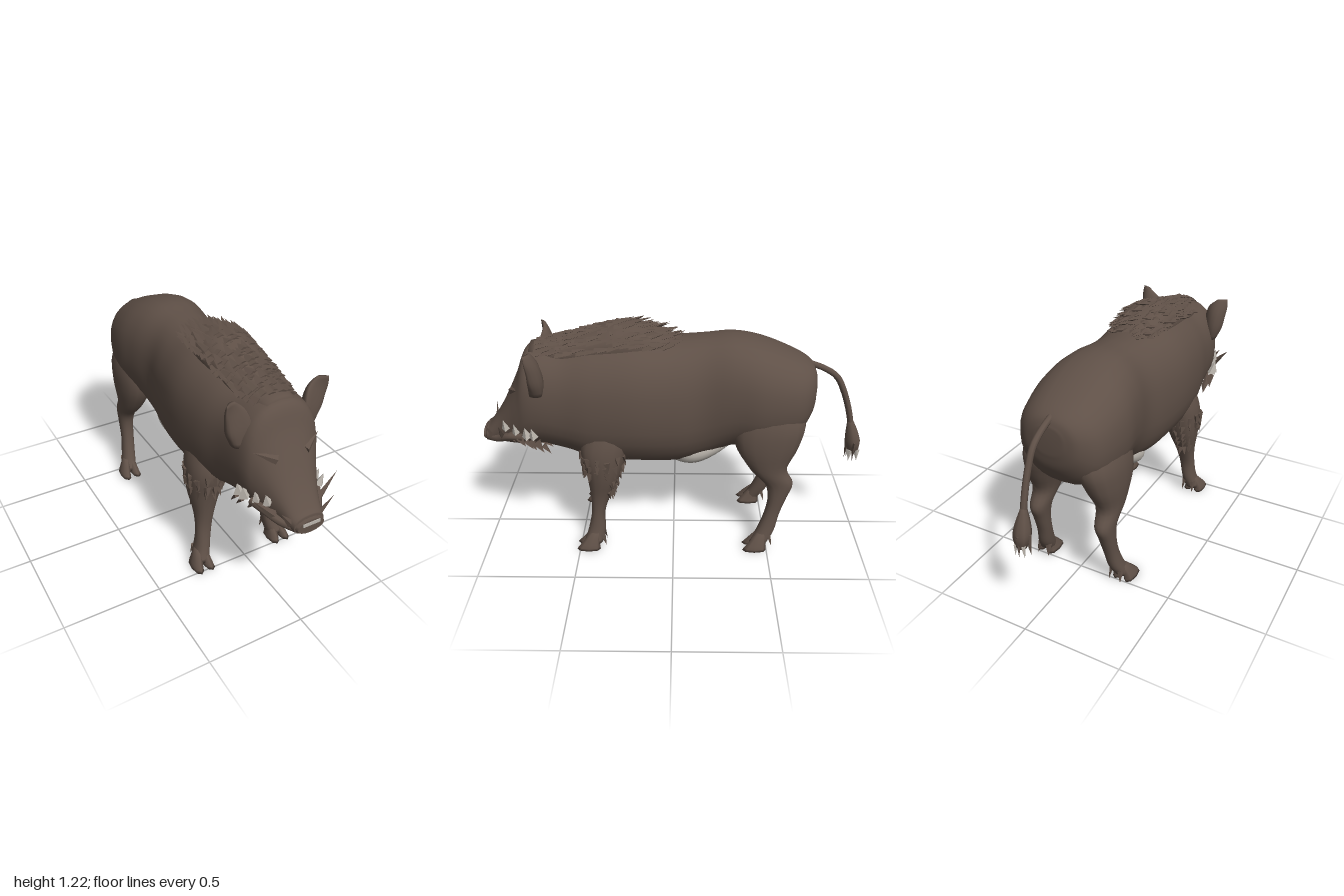
import * as THREE from 'three';
import { mergeGeometries } from 'three/addons/utils/BufferGeometryUtils.js';

// Smooth closed tube through cross-sections [pos, cx, c2, rx, r2] along +y or +z
function loft(sections, axis, steps = 4, sides = 24, power = 2.2) {
  const centres = new THREE.CatmullRomCurve3(sections.map(s => new THREE.Vector3(s[1], s[2], s[0])), false, 'catmullrom', 0.5);
  const radii = new THREE.CatmullRomCurve3(sections.map(s => new THREE.Vector3(s[3], s[4], 0)), false, 'catmullrom', 0.5);
  const n = (sections.length - 1) * steps;
  const pos = [], idx = [];
  const put = (c, u, v) => axis === 'z'
    ? pos.push(c.x + u, c.y + v, c.z)
    : pos.push(c.x + u, c.z, c.y - v);
  const round = v => Math.sign(v) * Math.abs(v) ** (2 / power);
  for (let i = 0; i <= n; i++) {
    const c = centres.getPoint(i / n), r = radii.getPoint(i / n);
    for (let j = 0; j < sides; j++) {
      const a = j / sides * Math.PI * 2;
      put(c, r.x * round(Math.cos(a)), r.y * round(Math.sin(a)));
    }
  }
  for (let i = 0; i < n; i++) {
    for (let j = 0; j < sides; j++) {
      const a = i * sides + j, b = i * sides + (j + 1) % sides;
      idx.push(a, b, a + sides, b, b + sides, a + sides);
    }
  }
  // end caps
  put(centres.getPoint(0), 0, 0);
  put(centres.getPoint(1), 0, 0);
  const first = (n + 1) * sides;
  for (let j = 0; j < sides; j++) {
    const k = (j + 1) % sides;
    idx.push(first, k, j, first + 1, n * sides + j, n * sides + k);
  }
  const g = new THREE.BufferGeometry();
  g.setAttribute('position', new THREE.Float32BufferAttribute(pos, 3));
  g.setIndex(idx);
  g.computeVertexNormals();
  return g;
}

// Loft along z from [z, bottom, top, halfWidth]
const bodyLoft = (rows, steps, power) =>
  loft(rows.map(([z, b, t, w]) => [z, 0, (b + t) / 2, w, (t - b) / 2]), 'z', steps, 28, power);

// Flat-sided hair clump from a root along a direction
const UP = new THREE.Vector3(0, 1, 0);
function clump(root, dir, length, radius, flat = 0.6) {
  const g = new THREE.ConeGeometry(radius, length, 4).toNonIndexed();
  g.translate(0, length * 0.35, 0);
  g.scale(1, 1, flat);
  g.applyQuaternion(new THREE.Quaternion().setFromUnitVectors(UP, new THREE.Vector3(...dir).normalize()));
  g.translate(...root);
  g.computeVertexNormals();
  return g;
}

export function createModel() {
  const group = new THREE.Group();
  const material = (name, color) => {
    const m = new THREE.MeshStandardMaterial({ color });
    m.name = name;
    return m;
  };
  const hide = material('brown hide', 0x5f5047);
  const pale = material('pale fur', 0xbab4ac);
  const add = (name, geometry, mat = hide) => {
    const m = new THREE.Mesh(geometry, mat);
    m.name = name;
    group.add(m);
  };
  let seed = 7;
  const rand = () => (seed = (seed * 16807) % 2147483647) / 2147483647;
  const jitter = a => (rand() - 0.5) * 2 * a;

  // Trunk, neck and head in one skin
  add('body', bodyLoft([
    [-0.725, 0.81, 0.94, 0.07], [-0.70, 0.71, 0.99, 0.15], [-0.62, 0.60, 1.04, 0.22],
    [-0.45, 0.55, 1.11, 0.252], [-0.30, 0.54, 1.14, 0.235], [-0.15, 0.47, 1.13, 0.215],
    [0, 0.445, 1.12, 0.24], [0.2, 0.45, 1.13, 0.262], [0.4, 0.46, 1.11, 0.248],
    [0.55, 0.51, 1.08, 0.22], [0.68, 0.54, 1.08, 0.205], [0.745, 0.535, 1.06, 0.19],
    [0.79, 0.53, 0.955, 0.165], [0.84, 0.53, 0.85, 0.135], [0.90, 0.535, 0.74, 0.105],
    [0.96, 0.54, 0.655, 0.085], [0.985, 0.545, 0.635, 0.078]], 5, 2.3));
  add('bellyPatch', bodyLoft([
    [-0.31, 0.53, 0.62, 0.07], [-0.22, 0.483, 0.62, 0.14], [-0.13, 0.437, 0.60, 0.155],
    [-0.05, 0.43, 0.57, 0.135], [0.03, 0.44, 0.52, 0.06]], 4, 2.2), pale);
  const belly = [];
  for (let k = -2; k <= 2; k++) {
    belly.push(clump([k * 0.03, 0.447, -0.06 - 0.015 * (k % 2)], [0, -0.45, -1], 0.08, 0.018, 0.5));
  }
  add('bellyHair', mergeGeometries(belly));

  // Snout pad with a pale front edge
  const pad = new THREE.CylinderGeometry(0.07, 0.085, 0.04, 16).rotateX(Math.PI / 2);
  add('snoutPad', pad.scale(1, 0.5, 1).translate(0, 0.588, 0.979));
  add('snoutEdge', new THREE.BoxGeometry(0.09, 0.016, 0.006).translate(0, 0.604, 1.0), pale);

  // Shaggy mane over neck and shoulders
  const mane = [[-0.02, 1.05, 1.10, 0.07], [0.08, 1.0, 1.16, 0.12], [0.25, 0.98, 1.2, 0.14],
    [0.42, 0.98, 1.16, 0.13], [0.58, 0.98, 1.115, 0.115], [0.72, 0.98, 1.09, 0.08]];
  add('maneBase', bodyLoft(mane, 4, 2.2));
  const hairs = [];
  for (let z = 0.02; z < 0.7; z += 0.036) {
    const i = Math.max(1, mane.findIndex(r => r[0] > z));
    const f = (z - mane[i - 1][0]) / (mane[i][0] - mane[i - 1][0]);
    const [, b, t, w] = mane[i - 1].map((v, k) => v + (mane[i][k] - v) * f);
    for (let k = -4; k <= 4; k++) {
      const a = k * 0.33 + jitter(0.12);
      hairs.push(clump([Math.sin(a) * w, (b + t) / 2 + Math.cos(a) * (t - b) / 2, z + jitter(0.015)],
        [Math.sin(a) * 0.15 + jitter(0.2), 0.2 + jitter(0.12), -1], 0.075 + rand() * 0.03, 0.026, 0.45));
    }
  }
  add('maneHair', mergeGeometries(hairs));

  // Tail with tuft
  const v = (x, y, z) => new THREE.Vector3(x, y, z);
  add('tail', new THREE.TubeGeometry(new THREE.CatmullRomCurve3([v(0, 0.985, -0.68), v(0, 0.95, -0.77),
    v(0, 0.905, -0.835), v(0, 0.82, -0.88), v(0, 0.7, -0.92), v(0, 0.58, -0.945)]), 20, 0.016, 8));
  add('tailTuft', loft([[0.465, 0, -0.965, 0.024, 0.025], [0.52, 0, -0.958, 0.042, 0.04],
    [0.58, 0, -0.948, 0.036, 0.034], [0.66, 0, -0.93, 0.012, 0.014]], 'y', 3, 8));
  const tailHair = [], tailTips = [];
  for (let k = 0; k < 8; k++) {
    const a = k * Math.PI / 4, x = Math.cos(a), z = Math.sin(a);
    if (k % 2) tailTips.push(clump([x * 0.03, 0.475, -0.962 + z * 0.026], [x * 0.1, -1, z * 0.1], 0.065, 0.017));
    else tailHair.push(clump([x * 0.032, 0.52, -0.957 + z * 0.03], [x * 0.1, -1, z * 0.05], 0.11, 0.02));
  }
  add('tailHair', mergeGeometries(tailHair));
  add('tailTips', mergeGeometries(tailTips), pale);

  // Throat fringe
  const throat = [];
  for (let k = -4; k <= 4; k++) {
    for (const z of [0.57, 0.66, 0.74]) {
      throat.push(clump([k * 0.028, 0.555 + Math.abs(k) * 0.006, z + jitter(0.02)],
        [jitter(0.3), -0.6, -1], 0.06, 0.02));
    }
  }
  add('throatHair', mergeGeometries(throat));

  const frontLeg = [[0.03, 0.228, 0.43, 0.045, 0.05], [0.1, 0.207, 0.41, 0.04, 0.046],
    [0.2, 0.193, 0.4, 0.042, 0.036], [0.3, 0.183, 0.385, 0.053, 0.053], [0.42, 0.175, 0.365, 0.08, 0.088],
    [0.55, 0.16, 0.36, 0.1, 0.12], [0.66, 0.135, 0.34, 0.1, 0.12], [0.8, 0.11, 0.33, 0.06, 0.07]];
  const backLeg = [[0.03, 0.228, -0.455, 0.042, 0.045], [0.1, 0.21, -0.495, 0.038, 0.046],
    [0.2, 0.196, -0.525, 0.036, 0.04], [0.3, 0.19, -0.548, 0.04, 0.05], [0.38, 0.185, -0.55, 0.047, 0.075],
    [0.47, 0.18, -0.49, 0.062, 0.098], [0.6, 0.165, -0.48, 0.09, 0.165],
    [0.73, 0.137, -0.49, 0.108, 0.18], [0.9, 0.11, -0.49, 0.07, 0.1]];

  for (const s of [1, -1]) {
    const side = s > 0 ? 'left' : 'right';
    const mirror = rows => rows.map(([y, x, ...rest]) => [y, x * s, ...rest]);

    // Legs with cloven hooves and dewclaws
    for (const [label, leg, z] of [['Front', frontLeg, 0.455], ['Back', backLeg, -0.435]]) {
      add(side + label + 'Leg', loft(mirror(leg), 'y', 4, 16));
      for (const d of [-0.027, 0.027]) {
        const x = 0.232 + d;
        add(side + label + 'Hoof', loft(mirror([[0, x + d * 0.2, z, 0.027, 0.064],
          [0.03, x, z - 0.01, 0.026, 0.05], [0.09, x - 0.01 - d * 0.5, z - 0.038, 0.018, 0.024]]), 'y', 2, 8));
        add(side + label + 'Dewclaw', clump([s * (0.215 + d), 0.07, z - 0.08], [d * 3 * s, -1, -0.25], 0.07, 0.018));
      }
    }

    // Shaggy hair: all round the upper foreleg, only behind it lower down
    const legHair = [];
    for (let y = 0.34; y < 0.57; y += 0.04) {
      const f = (y - 0.3) / 0.25;
      for (let a = f > 0.55 ? -2 : 0.7; a < 2; a += 0.45) {
        const out = [Math.cos(a) * s, -Math.sin(a)];
        const x = s * (0.183 - 0.02 * f) + out[0] * (0.05 + 0.048 * f);
        const z = 0.383 - 0.022 * f + out[1] * (0.055 + 0.062 * f);
        legHair.push(clump([x, y + jitter(0.012), z], [out[0] * 0.2 + jitter(0.2), -1, out[1] * 0.35], 0.05, 0.024));
      }
    }
    add(side + 'ForelegHair', mergeGeometries(legHair));

    // Thick cupped ear, rims curled forward
    const ear = loft(mirror([[0.88, 0.185, 0.675, 0.03, 0.035], [0.95, 0.19, 0.67, 0.056, 0.04],
      [1.02, 0.2, 0.67, 0.058, 0.032], [1.07, 0.214, 0.675, 0.05, 0.02], [1.112, 0.236, 0.685, 0.024, 0.008]]), 'y', 3, 16);
    const p = ear.attributes.position;
    for (let i = 0; i < p.count; i++) {
      const d = Math.abs(p.getX(i)) - 0.2;
      p.setZ(i, p.getZ(i) + 8 * d * d - 0.1 * d);
    }
    ear.computeVertexNormals();
    add(side + 'Ear', ear);

    // Brow ridge
    add(side + 'Brow', clump([s * 0.09, 0.862, 0.818], [s, 0.4, -0.5], 0.11, 0.024));

    // Lip ridge and two pairs of upturned tusks
    add(side + 'Lip', new THREE.TubeGeometry(new THREE.CatmullRomCurve3([v(s * 0.055, 0.575, 0.97),
      v(s * 0.1, 0.59, 0.91), v(s * 0.138, 0.62, 0.85), v(s * 0.16, 0.63, 0.77)]), 12, 0.02, 8));
    add(side + 'LowerTusk', clump([s * 0.085, 0.61, 0.957], [s * 0.6, 0.8, 0.1], 0.11, 0.02));
    add(side + 'UpperTusk', clump([s * 0.135, 0.63, 0.885], [s * 0.85, 0.9, -0.1], 0.15, 0.023));

    // Pale leaf-shaped cheek tufts with hide-coloured whiskers beneath
    const cheek = [], whiskers = [];
    for (const [x, y, z, r] of [[0.14, 0.675, 0.86, 0.026], [0.16, 0.662, 0.805, 0.024],
      [0.182, 0.653, 0.745, 0.034], [0.19, 0.653, 0.71, 0.03]]) {
      cheek.push(clump([s * x, y, z], [s * 0.25, 0.9, 0.1], 0.06, r, 0.8));
      whiskers.push(clump([s * x, y - 0.04, z - 0.02], [s * 0.2, -0.8, -0.5], 0.06, 0.022));
      whiskers.push(clump([s * x * 0.9, y - 0.07, z - 0.05], [s * 0.1, -0.8, -0.6], 0.06, 0.022));
    }
    add(side + 'CheekFur', mergeGeometries(cheek), pale);
    add(side + 'Whiskers', mergeGeometries(whiskers));
  }
  return group;
}
